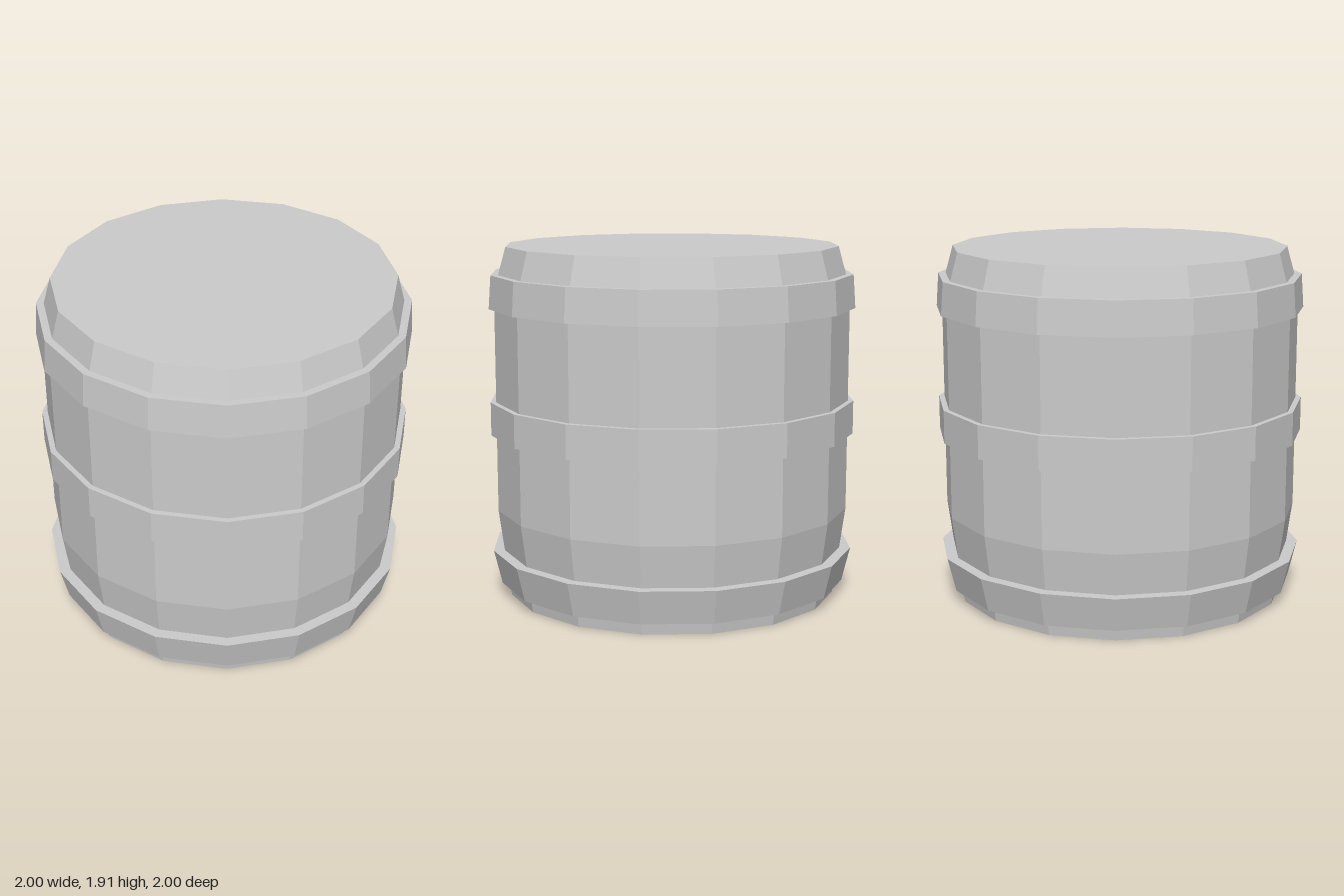
import * as THREE from 'three';

const SIDES = 16;

// Turns a [radius, height] profile, listed bottom to top, into a faceted mesh
function turned(name, profile) {
  const points = profile.map(([r, y]) => new THREE.Vector2(r, y));
  const material = new THREE.MeshStandardMaterial({ color: 0xcccccc, flatShading: true });
  const mesh = new THREE.Mesh(new THREE.LatheGeometry(points, SIDES), material);
  mesh.name = name;
  return mesh;
}

// Hoop with a sloping outer face; its flat rims run just into the body
function hoop(name, y0, y1, outer0, outer1, inner0, inner1) {
  return turned(name, [[inner0, y0], [outer0, y0], [outer1, y1], [inner1, y1]]);
}

export function createModel() {
  const barrel = new THREE.Group();
  barrel.name = 'barrel';

  // Closed body: tapered foot, straight middle, chamfered shoulder, flat lids
  barrel.add(turned('body', [
    [0, 0], [0.905, 0], [0.97, 0.48], [0.97, 1.68], [0.905, 1.915], [0, 1.915],
  ]));

  // Three hoops
  barrel.add(
    hoop('bottomHoop', 0.07, 0.255, 0.955, 1.0, 0.905, 0.93),
    hoop('middleHoop', 0.9, 1.08, 1.0, 1.0, 0.96, 0.96),
    hoop('topHoop', 1.585, 1.765, 1.0, 0.987, 0.96, 0.935),
  );

  return barrel;
}
